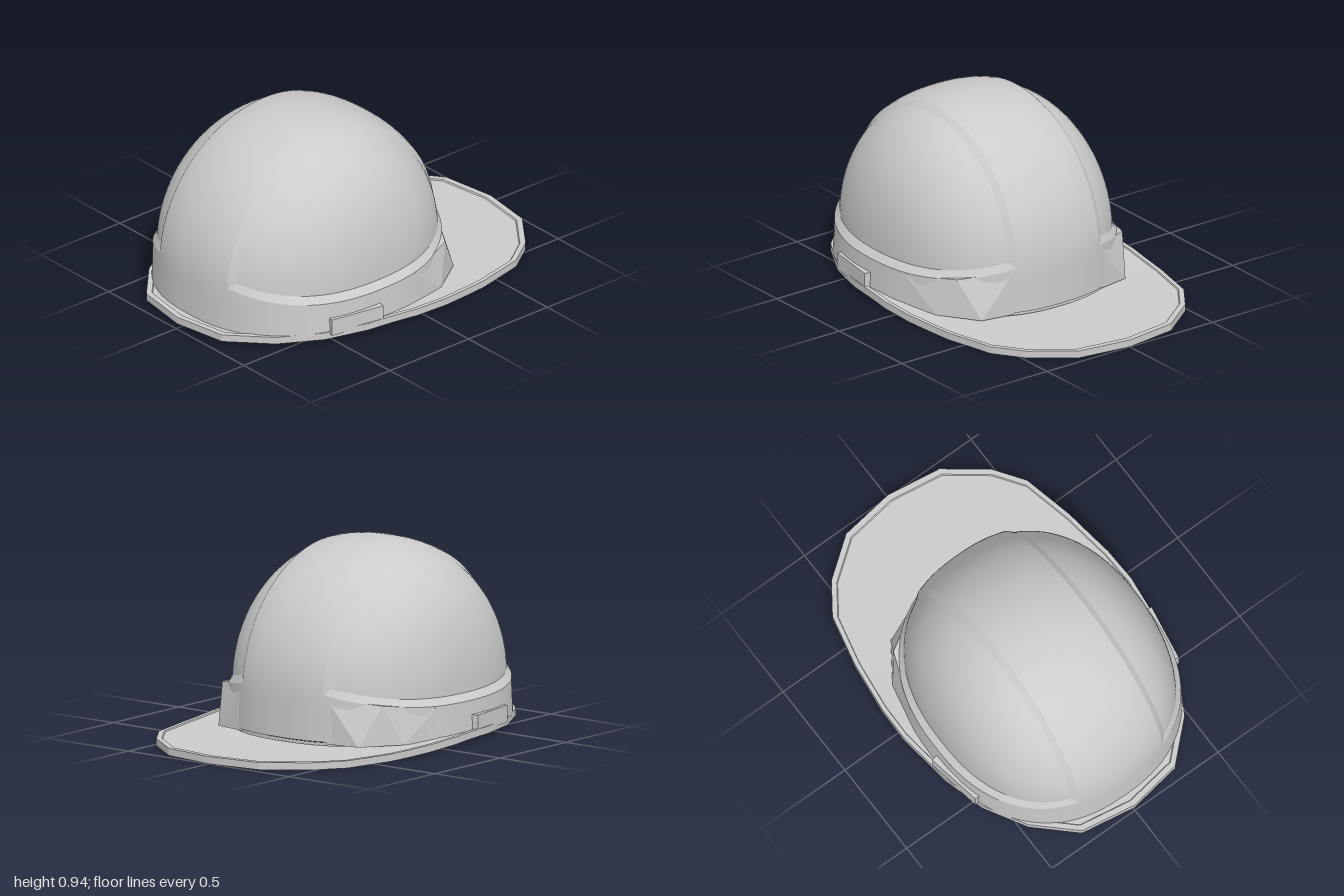
import * as THREE from 'three';
import { mergeGeometries, mergeVertices, toCreasedNormals } from 'three/addons/utils/BufferGeometryUtils.js';
import { ConvexGeometry } from 'three/addons/geometries/ConvexGeometry.js';

const CY = 0.24, CZ = 0.23, N = 2.35, BASE = 0.05, K = 6, ARC = 48;
// Shell sizes: half width, radius in the y-z plane, and the panel corner that lies on it
const OUTER = { rx: 0.62, r: 0.695, wx: 0.25, yc: 0.28, ySide: 0.2 };
const PANEL = { rx: 0.59, r: 0.685, wx: 0.28, yc: 0.31, ySide: 0.235 };
const LINING = { rx: 0.575, r: 0.66 };

const lerp = THREE.MathUtils.lerp;
const rho = (S, x) => Math.pow(Math.max(0, 1 - Math.pow(Math.abs(x) / S.rx, N)), 1 / N);

// Pushes an offset from the dome centre onto the dome, or onto its straight wall below
function project(S, [x, y, z]) {
  const f = Math.pow(Math.pow(Math.abs(x) / S.rx, N) + Math.pow(Math.hypot(Math.max(y, 0), z) / S.r, N), 1 / N);
  return [x / f, y > 0 ? y / f : y, z / f];
}

// Dome offset to model position; the wall flares slightly towards the brim
const place = ([x, y, z]) => [x * (1 + 0.1 * Math.max(0, -y)), y + CY, z + CZ];

// Point on the dome at a given x and height, front (sz = 1) or back (sz = -1)
function wallPoint(S, x, y, sz) {
  const dy = y - CY;
  return [x, dy, sz * Math.sqrt(Math.max(0, (S.r * rho(S, x)) ** 2 - Math.max(0, dy) ** 2))];
}

// Lower edge of a side panel, front to back
function lowEdge(S, u) {
  const t = Math.acos(Math.pow(S.wx / S.rx, N / 2)) * (1 - 2 * u);
  const x = S.rx * Math.pow(Math.cos(t), 2 / N);
  return wallPoint(S, x, lerp(S.yc, S.ySide, (x - S.wx) / (S.rx - S.wx)), t >= 0 ? 1 : -1);
}

// Angle and half width of the crown strip edge, front to back
function arcAt(S, u) {
  const p0 = Math.asin((S.yc - CY) / (S.r * rho(S, S.wx)));
  const p = lerp(p0, Math.PI - p0, u);
  return { p, w: S.wx - 0.012 * (Math.sin(p) - Math.sin(p0)) };
}

function arcPoint(S, x, p) {
  const R = S.r * rho(S, x);
  return [x, R * Math.sin(p), R * Math.cos(p)];
}

function highEdge(S, u) {
  const { p, w } = arcAt(S, u);
  return arcPoint(S, w, p);
}

// Grid surface; fn(i, j) gives a position
function grid(nu, nv, fn, mirror = false) {
  const pos = [], idx = [];
  for (let i = 0; i <= nu; i++) {
    for (let j = 0; j <= nv; j++) {
      const [x, y, z] = fn(i, j);
      pos.push(mirror ? -x : x, y, z);
      if (i === nu || j === nv) continue;
      const a = i * (nv + 1) + j, b = a + 1, c = a + nv + 1, d = c + 1;
      if (mirror) idx.push(a, b, c, c, b, d);
      else idx.push(a, c, b, c, d, b);
    }
  }
  const g = new THREE.BufferGeometry();
  g.setAttribute('position', new THREE.Float32BufferAttribute(pos, 3));
  g.setIndex(idx);
  return g;
}

function smooth(parts) {
  const g = mergeVertices(mergeGeometries(parts), 1e-4);
  g.computeVertexNormals();
  return g;
}

// Wide strip running from the front wall over the crown to the back wall
function crownStrip() {
  const rows = 2 * K + ARC, nv = 16;
  return grid(rows, nv, (i, j) => {
    const s = 1 - 2 * j / nv;
    if (i < K || i > K + ARC) {
      const k = i < K ? i : rows - i;
      return place(wallPoint(OUTER, OUTER.wx * s, lerp(BASE, OUTER.yc, k / K), i < K ? 1 : -1));
    }
    const { p, w } = arcAt(OUTER, (i - K) / ARC);
    return place(arcPoint(OUTER, w * s, p));
  });
}

// Lower band along one side
const sideBand = (mirror) => grid(ARC, K, (i, j) => {
  const q = lowEdge(OUTER, i / ARC);
  const y = lerp(BASE, q[1] + CY, j / K);
  return place(wallPoint(OUTER, q[0], y, q[2] >= 0 ? 1 : -1));
}, mirror);

// Recessed side panel stretched between its two edges
const sidePanel = (mirror) => grid(ARC, 24, (i, j) => {
  const a = lowEdge(PANEL, i / ARC), b = highEdge(PANEL, i / ARC);
  return place(project(PANEL, a.map((v, k) => lerp(v, b[k], j / 24))));
}, mirror);

// Sloped step between the outer shell and a panel
const panelStep = (edge, from, to, mirror) => grid(ARC, 1,
  (i, j) => place(edge(j ? to : from, i / ARC)), mirror);

// Inside of the dome
const lining = () => grid(64, 20, (i, j) => {
  const a = i / 64 * Math.PI * 2, e = Math.max(0, j - 1) / 19 * Math.PI / 2;
  const q = project(LINING, [LINING.rx * Math.cos(e) * Math.cos(a), LINING.r * Math.sin(e),
    LINING.r * Math.cos(e) * Math.sin(a)]);
  if (j === 0) q[1] = 0.04 - CY;
  return [q[0], q[1] + CY, q[2] + CZ];
});

// Brim: faceted outline, long at the back, with a thin raised lip
function brim() {
  const half = [[0, 0.995], [0.28, 0.95], [0.47, 0.77], [0.59, 0.56], [0.65, 0.34], [0.685, 0.05],
    [0.68, -0.13], [0.645, -0.4], [0.585, -0.66], [0.48, -0.81], [0.28, -0.96], [0, -1]];
  const loop = [...half, ...half.slice(0, -1).reverse().map(([x, z]) => [-x, z])];
  const SUB = 4;
  const outline = (i) => {
    const k = Math.min(Math.floor(i / SUB), loop.length - 2), f = i / SUB - k;
    return [lerp(loop[k][0], loop[k + 1][0], f), lerp(loop[k][1], loop[k + 1][1], f)];
  };
  const drop = (z) => 0.025 * THREE.MathUtils.smoothstep(z, -0.45, 0.25);
  const hug = (S) => ([x, z]) => {
    const q = project(S, [x, -0.2, z - CZ]);
    return [q[0], q[2] + CZ];
  };
  const shrink = (s) => ([x, z]) => [x * s, z * s];
  // Each ring: plan shape and height above the brim's underside
  const rings = [
    [hug(LINING), 0.04], [hug(LINING), 0], [shrink(1), 0], [shrink(1), 0.036],
    [shrink(0.97), 0.036], [shrink(0.965), 0.03], [hug({ rx: 0.6, r: 0.68 }), 0.03]];
  const g = grid((loop.length - 1) * SUB, rings.length - 1, (i, j) => {
    const [x, z] = rings[j][0](outline(i));
    return [x, drop(z) + rings[j][1], z];
  });
  return toCreasedNormals(g, 0.5);
}

// Faceted gusset at a rear corner of the band
function gusset(s) {
  const pts = [[0.5, 0.235, -0.28], [0.565, 0.04, -0.2], [0.435, 0.04, -0.39],
    [0.26, 0.04, -0.42], [0.26, 0.265, -0.42], [0.61, 0.04, 0], [0.605, 0.195, 0]];
  return new ConvexGeometry(pts.map(([x, y, z]) => new THREE.Vector3(s * x, y, z)));
}

export function createModel() {
  const group = new THREE.Group();
  const solid = new THREE.MeshStandardMaterial({ color: 0xcccccc });
  const sheet = new THREE.MeshStandardMaterial({ color: 0xcccccc, side: THREE.DoubleSide });
  const add = (name, geometry, material = solid) => {
    const mesh = new THREE.Mesh(geometry, material);
    mesh.name = name;
    group.add(mesh);
    return mesh;
  };

  add('shell', smooth([crownStrip(), sideBand(false), sideBand(true)]));
  add('lining', smooth([lining()]));
  add('brim', brim(), sheet);

  for (const s of [1, -1]) {
    const side = s > 0 ? 'left' : 'right', m = s < 0;
    add(side + 'Panel', smooth([sidePanel(m)]));
    add(side + 'PanelLowerStep', smooth([panelStep(lowEdge, OUTER, PANEL, m)]), sheet);
    add(side + 'PanelUpperStep', smooth([panelStep(highEdge, PANEL, OUTER, m)]), sheet);
    add(side + 'Gusset', gusset(s));
    // Accessory slot block low on the side
    const slot = add(side + 'Slot', new THREE.BoxGeometry(0.07, 0.085, 0.29));
    slot.position.set(s * 0.6, 0.0875, 0.385);
    slot.rotation.y = -s * 0.17;
  }
  return group;
}
